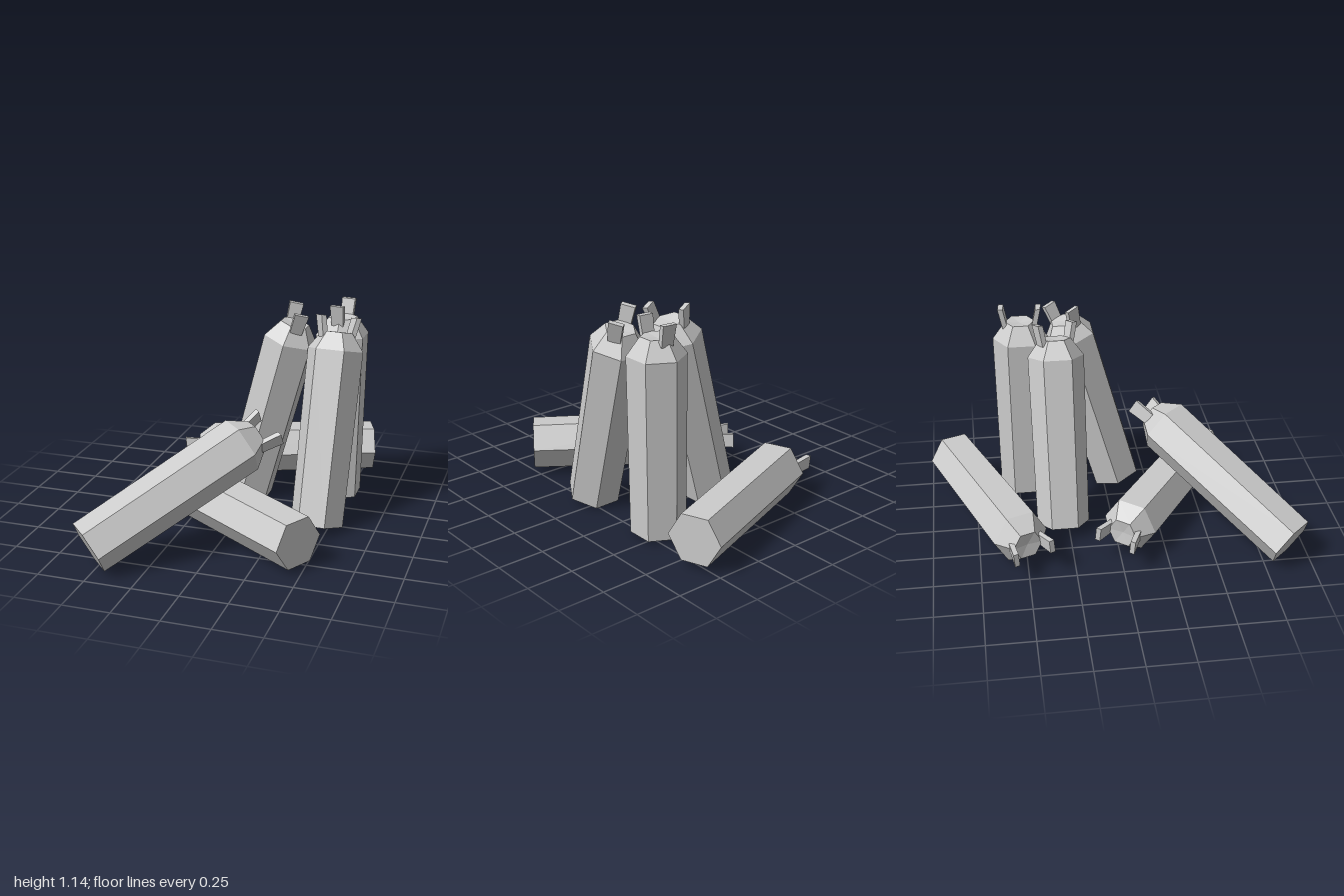
import * as THREE from 'three';

const V = (a) => new THREE.Vector3(...a);

// Six-sided body: flat base, slight flare, chamfered shoulder, narrow top
const bodyGeo = new THREE.LatheGeometry(
  [[0, 0], [0.143, 0], [0.151, 0.94], [0.082, 1.035], [0, 1.025]].map(([r, y]) => new THREE.Vector2(r, y)), 6);

// Small flared tab standing on the rim, wider at its tip
const tabGeo = new THREE.BoxGeometry(0.066, 0.115, 0.028);
const tp = tabGeo.attributes.position;
for (let i = 0; i < tp.count; i++) {
  if (tp.getY(i) > 0) {
    tp.setX(i, tp.getX(i) * 1.15);
    tp.setZ(i, tp.getZ(i) + 0.024); // lean outwards
  }
}
tabGeo.computeVertexNormals();

// base: centre of the bottom; axis: long direction;
// corner: direction of one hexagon corner; tab: side on which the first tab stands
const pieces = [
  { name: 'backStandingPost', base: [0.43, 0.02, -0.455], axis: [0.008, 1, 0], corner: [0, 0, 1], tab: [0.1, 0, -1] },
  { name: 'rightStandingPost', base: [-0.05, 0.045, -0.28], axis: [0.255, 0.967, 0], corner: [0, 0, 1], tab: [-0.4, 0, -0.9] },
  { name: 'leftStandingPost', base: [0.445, 0.04, 0.075], axis: [0.02, 0.96, -0.272], corner: [1, 0, 0], tab: [0.8, 0, -0.6] },
  { name: 'leaningPost', base: [-0.52, 0.132, 0.885], axis: [0.655, 0.432, -0.62], corner: [0.015, 0.13, 0.106], tab: [-0.08, 0.05, -0.08] },
  { name: 'frontLyingPost', base: [0.48, 0.165, 0.59], axis: [-0.825, 0, -0.565], corner: [0.565, 0.06, -0.825], tab: [0.5, 0.1, -0.83] },
  { name: 'backLyingPost', base: [0.547, 0.165, -0.865], axis: [-0.935, 0, 0.355], corner: [0.355, 0, 0.935], tab: [0.355, 0.1, 0.935] },
];

function makePost({ name, base, axis, corner, tab }, material) {
  const post = new THREE.Group();
  post.name = name;
  // Local y runs along the post, local z points at a hexagon corner
  const y = V(axis).normalize();
  const x = new THREE.Vector3().crossVectors(y, V(corner)).normalize();
  const z = new THREE.Vector3().crossVectors(x, y);
  post.quaternion.setFromRotationMatrix(new THREE.Matrix4().makeBasis(x, y, z));
  post.position.copy(V(base));

  const body = new THREE.Mesh(bodyGeo, material);
  body.name = 'body';
  post.add(body);

  // Two opposite tabs on the rim
  const first = Math.atan2(V(tab).dot(x), V(tab).dot(z));
  for (const [i, angle] of [first, first + Math.PI].entries()) {
    const mesh = new THREE.Mesh(tabGeo, material);
    mesh.name = 'tab' + (i + 1);
    mesh.position.set(Math.sin(angle) * 0.078, 1.06, Math.cos(angle) * 0.078);
    mesh.rotation.y = angle;
    post.add(mesh);
  }
  return post;
}

export function createModel() {
  const material = new THREE.MeshStandardMaterial({ color: 0xcccccc, flatShading: true });
  const model = new THREE.Group();
  model.name = 'postPile';
  for (const piece of pieces) model.add(makePost(piece, material));
  return model;
}
